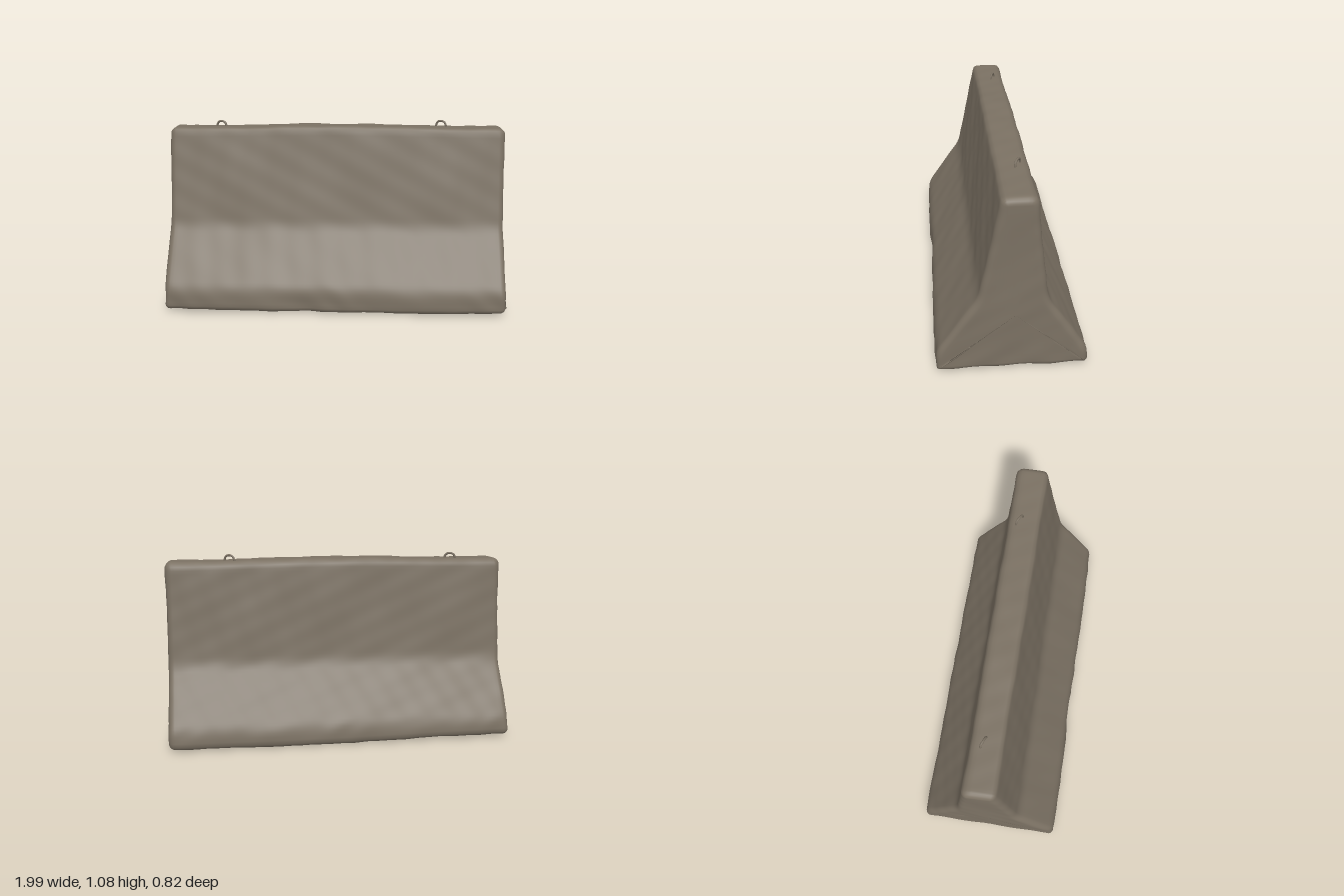
import * as THREE from 'three';

const concrete = new THREE.MeshStandardMaterial({ color: 0x7b7163 });
concrete.name = 'weatheredConcrete';

// Corners of the cross-section as [z, y, rounding], front foot upward and over to the back
const CORNERS = [
  [0.41, 0.012, 0.025], [0.405, 0.14, 0.05], [0.18, 0.46, 0.05], [0.06, 1.04, 0.025],
  [-0.115, 1.04, 0.04], [-0.163, 0.6, 0.08], [-0.182, 0.44, 0.05], [-0.4, 0.11, 0.05], [-0.408, 0.012, 0.03],
];

function roundedProfile(count) {
  const v = CORNERS.map(([z, y]) => new THREE.Vector2(z, y));
  const n = v.length;
  const toward = (a, b, d) => a.clone().add(b.clone().sub(a).setLength(d));
  const path = new THREE.Path();
  v.forEach((p, i) => {
    const r = CORNERS[i][2];
    const from = toward(p, v[(i + n - 1) % n], r);
    const to = toward(p, v[(i + 1) % n], r);
    if (i === 0) path.moveTo(from.x, from.y);
    else path.lineTo(from.x, from.y);
    path.quadraticCurveTo(p.x, p.y, to.x, to.y);
  });
  path.closePath();
  const pts = path.getSpacedPoints(count);
  pts.pop();
  return pts;
}

// Smooth lumps, rougher near the foot
function lumps(x, y, z) {
  const s = Math.sin;
  const broad = s(4.1 * x + 3 * y + 1) * s(5.3 * y - 4 * z + 2 * x) * 0.003;
  const medium = s(13 * x + 7 * z + 2) * s(11 * y + 9 * z + 0.5 + 3 * x) * 0.0022;
  const fine = s(31 * x + 17 * y) * s(27 * y + 23 * z - 11 * x) * 0.0014;
  const rough = Math.max(0, 1 - y / 0.2) * s(19 * x + 29 * y + 3 * s(7 * x)) * s(24 * z + 15 * y) * 0.003;
  return broad + medium + fine + rough;
}

function barrierGeometry() {
  const profile = roundedProfile(150);
  const n = profile.length;
  const normals = profile.map((p, j) => {
    const t = profile[(j + 1) % n].clone().sub(profile[(j + n - 1) % n]).normalize();
    return new THREE.Vector2(t.y, -t.x);
  });
  const centre = new THREE.Vector2(-0.01, 0.36);
  const HALF = 0.992, BEVEL = 0.035;

  // Rings for one end: cap from centre outward, then a rounded edge
  const end = [];
  for (let k = 0; k < 10; k++) end.push({ x: HALF, inset: BEVEL, scale: k / 10 });
  for (let k = 0; k <= 5; k++) {
    const a = (k / 5) * Math.PI / 2;
    end.push({ x: HALF - BEVEL * (1 - Math.cos(a)), inset: BEVEL * (1 - Math.sin(a)), scale: 1 });
  }
  const rings = end.map((r) => ({ ...r, x: -r.x }));
  const steps = 100, inner = HALF - BEVEL;
  for (let i = 1; i < steps; i++) rings.push({ x: -inner + (2 * inner * i) / steps, inset: 0, scale: 1 });
  rings.push(...end.slice().reverse());

  const positions = [], index = [];
  rings.forEach(({ x, inset, scale }, i) => {
    profile.forEach((p, j) => {
      const q = p.clone().addScaledVector(normals[j], -inset).sub(centre).multiplyScalar(scale).add(centre);
      positions.push(x, q.y, q.x);
      if (i === rings.length - 1) return;
      const a = i * n + j, c = i * n + (j + 1) % n;
      index.push(a, a + n, c, a + n, c + n, c);
    });
  });
  const g = new THREE.BufferGeometry();
  g.setAttribute('position', new THREE.Float32BufferAttribute(positions, 3));
  g.setIndex(index);
  g.computeVertexNormals();

  // Worn surface, a slightly crowned top and a sagging underside
  const pos = g.attributes.position, nor = g.attributes.normal;
  for (let i = 0; i < pos.count; i++) {
    const x = pos.getX(i), y = pos.getY(i), z = pos.getZ(i);
    const d = lumps(x, y, z);
    const crown = 0.012 * Math.cos(Math.PI * x) * 0.5 * THREE.MathUtils.smoothstep(y, 0.7, 1.04);
    const sag = -0.006 * Math.cos(2.6 * (x - 0.25)) * (1 - THREE.MathUtils.smoothstep(y, 0, 0.15));
    const chip = z > 0.3 ? -0.012 * Math.exp(-(((x + 0.15) / 0.13) ** 2) - ((y - 0.05) / 0.07) ** 2) : 0;
    pos.setXYZ(i, x + nor.getX(i) * d, Math.max(0, y + nor.getY(i) * d + crown + sag), z + nor.getZ(i) * d + chip);
  }
  g.computeVertexNormals();
  return g;
}

// Lifting eye: a bent bar rising out of the top
function liftingLoop(name, x, z, turn, top) {
  const curve = new THREE.CatmullRomCurve3([
    [-0.03, -0.06], [-0.031, -0.025], [-0.022, -0.007], [0, 0], [0.022, -0.007], [0.031, -0.025], [0.03, -0.06],
  ].map(([px, py]) => new THREE.Vector3(px, py, 0)));
  const loop = new THREE.Mesh(new THREE.TubeGeometry(curve, 28, 0.0065, 8), concrete);
  loop.name = name;
  loop.position.set(x, top - 0.0065, z);
  loop.rotation.y = turn;
  return loop;
}

export function createModel() {
  const group = new THREE.Group();
  group.name = 'concreteBarrier';
  const body = new THREE.Mesh(barrierGeometry(), concrete);
  body.name = 'barrierBody';
  group.add(body);
  group.add(liftingLoop('rightLiftingLoop', -0.7, -0.046, -0.38, 1.07));
  group.add(liftingLoop('leftLiftingLoop', 0.626, -0.056, -0.52, 1.076));
  return group;
}
